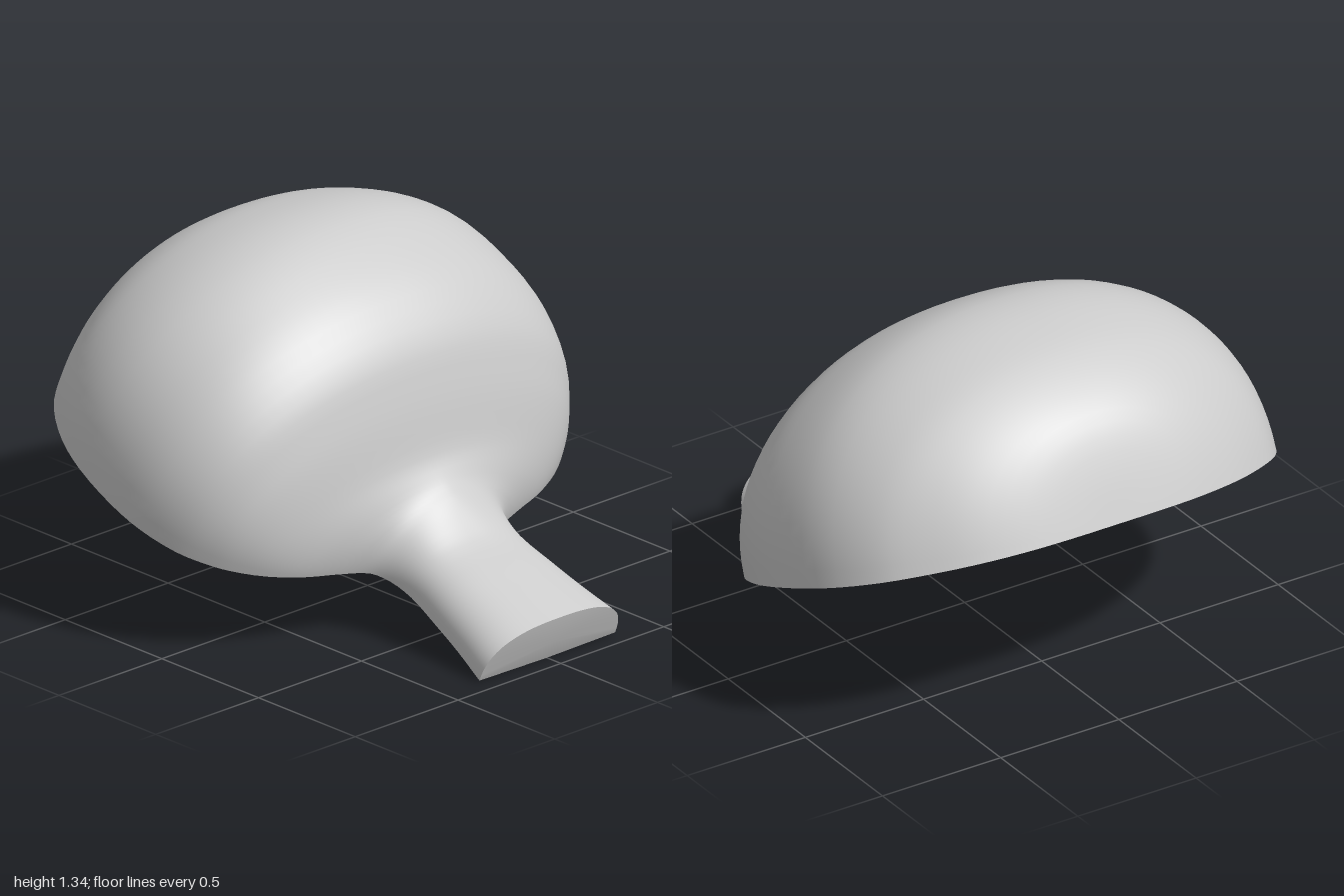
import * as THREE from 'three';

// Stations along the tilted rim plane: [distance forward, half width, height]
const STATIONS = [
  [-1.083, 0, 0], [-1.081, 0.2, 0.2], [-1.06, 0.38, 0.36], [-1.0, 0.56, 0.48],
  [-0.9, 0.72, 0.6], [-0.8, 0.83, 0.68], [-0.65, 0.92, 0.765], [-0.5, 0.965, 0.805],
  [-0.3, 0.985, 0.79], [-0.15, 0.975, 0.75], [0, 0.93, 0.66], [0.1, 0.865, 0.54],
  [0.16, 0.81, 0.455], [0.24, 0.7, 0.335], [0.3, 0.57, 0.285], [0.345, 0.42, 0.26],
  [0.385, 0.32, 0.245], [0.45, 0.28, 0.215], [0.55, 0.265, 0.183], [0.7, 0.28, 0.182],
  [0.85, 0.3, 0.184], [1.005, 0.33, 0.186],
];
const ARCH = 48;

// Rim-plane coordinates (forward s, normal t) to model space
const place = (x, s, t) => [x, 0.388 - 0.38 * s + 0.925 * t, 0.925 * s + 0.38 * t];

// Roundness of the arch: domed, pinched at the neck, squarer on the handle
const roundness = (s) =>
  2.2 - 0.55 * Math.exp(-(((s - 0.33) / 0.08) ** 2)) + 0.4 * THREE.MathUtils.smoothstep(s, 0.4, 0.6);

// One arched cross-section from the left rim over the top to the right rim
function arch(s, w, h) {
  const points = [];
  const e = 2 / roundness(s);
  for (let j = 0; j <= ARCH; j++) {
    const a = (j / ARCH) * Math.PI;
    const c = Math.cos(a);
    const x = w * Math.sign(c) * Math.abs(c) ** e;
    const t = h * Math.max(0, Math.sin(a)) ** e;
    points.push(place(x, s, t));
  }
  return points;
}

function surface(positions, index) {
  const geometry = new THREE.BufferGeometry();
  geometry.setAttribute('position', new THREE.Float32BufferAttribute(positions.flat(), 3));
  geometry.setIndex(index);
  geometry.computeVertexNormals();
  return geometry;
}

export function createModel() {
  const model = new THREE.Group();
  const material = new THREE.MeshStandardMaterial({ color: 0xcccccc, side: THREE.DoubleSide });
  const add = (name, geometry) => {
    const mesh = new THREE.Mesh(geometry, material);
    mesh.name = name;
    model.add(mesh);
  };

  // Open shell: dome flowing through the neck into the handle
  const curve = new THREE.CatmullRomCurve3(STATIONS.map((p) => new THREE.Vector3(...p)), false, 'centripetal');
  const rows = (STATIONS.length - 1) * 3;
  const positions = [];
  const index = [];
  for (let i = 0; i <= rows; i++) {
    const p = curve.getPoint(i / rows);
    positions.push(...arch(p.x, p.y, p.z));
  }
  for (let i = 0; i < rows; i++) {
    for (let j = 0; j < ARCH; j++) {
      const a = i * (ARCH + 1) + j;
      const b = a + ARCH + 1;
      if (i > 0) index.push(a, a + 1, b);
      index.push(a + 1, b + 1, b);
    }
  }
  add('domeAndHandleShell', surface(positions, index));

  // Handle end: a shallow fan closing the last arch
  const end = [...arch(...STATIONS[STATIONS.length - 1]), place(0, 1.015, 0.08), place(0, 1.005, -0.006)];
  const centre = ARCH + 1;
  const bottom = ARCH + 2;
  const fan = [];
  for (let j = 0; j < ARCH; j++) fan.push(centre, j, j + 1);
  fan.push(centre, ARCH, bottom, centre, bottom, 0);
  add('handleEnd', surface(end, fan));

  return model;
}
